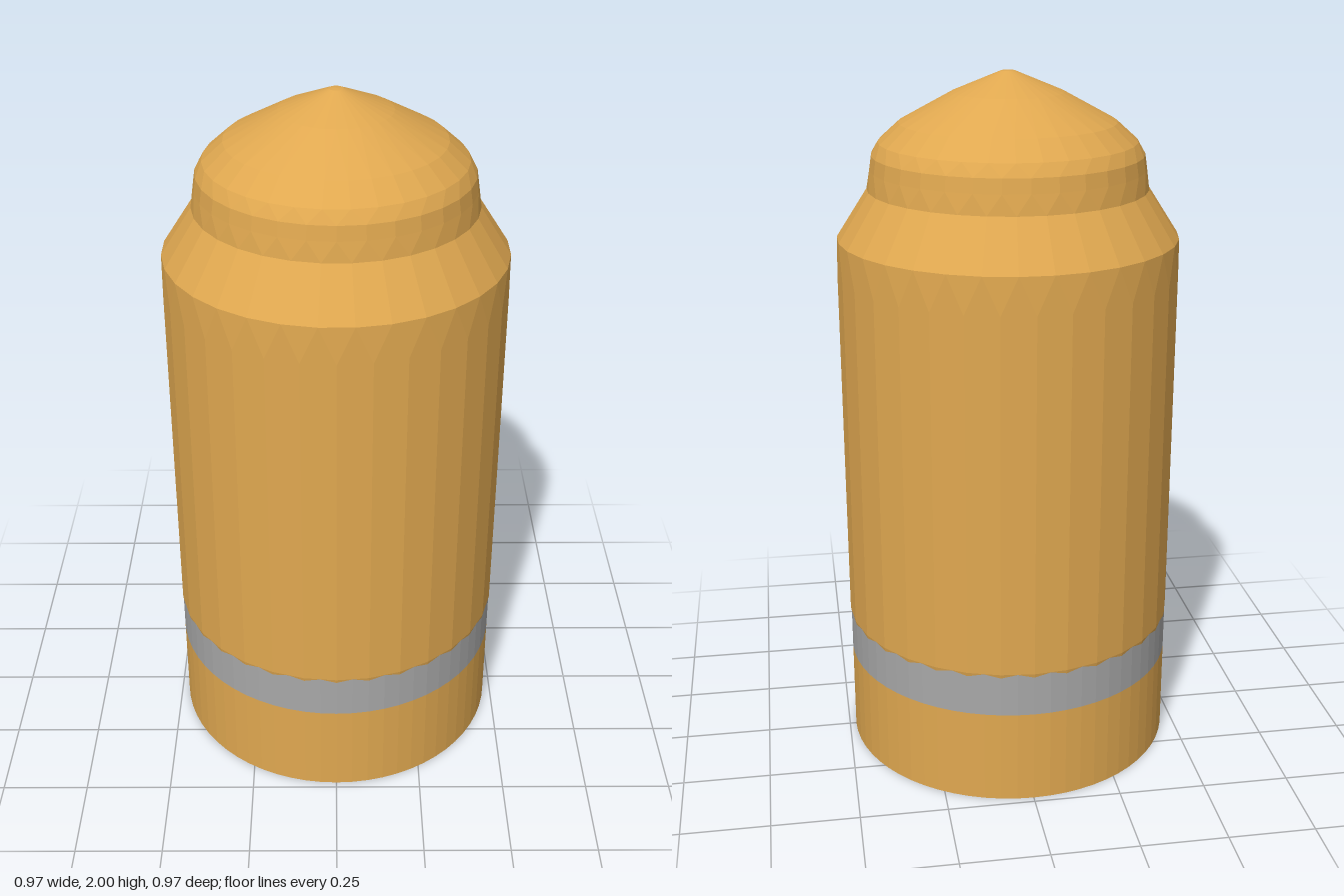
import * as THREE from 'three';

const SIDES = 32;
const brass = new THREE.MeshStandardMaterial({ color: 0xe0a850, flatShading: true });
const steel = new THREE.MeshStandardMaterial({ color: 0xa8a8a8, flatShading: true });

// Skin a stack of rings [radius, y, shift]; shift 0.5 turns a ring by half a side,
// so neighbouring rings with different shifts are joined by a zigzag of triangles.
function facetedStack(rings) {
  const positions = [];
  const point = ([r, y, shift], i) => {
    const a = ((i + shift) / SIDES) * Math.PI * 2;
    return [r * Math.sin(a), y, r * Math.cos(a)];
  };
  for (let k = 0; k < rings.length - 1; k++) {
    const low = rings[k], high = rings[k + 1];
    for (let i = 0; i < SIDES; i++) {
      const a = point(low, i), b = point(low, i + 1);
      const c = point(high, i), d = point(high, i + 1);
      if (low[2] <= high[2]) positions.push(...a, ...b, ...c, ...b, ...d, ...c);
      else positions.push(...a, ...b, ...d, ...a, ...d, ...c);
    }
  }
  const geometry = new THREE.BufferGeometry();
  geometry.setAttribute('position', new THREE.Float32BufferAttribute(positions, 3));
  geometry.computeVertexNormals();
  return geometry;
}

export function createModel() {
  const group = new THREE.Group();
  const add = (name, geometry, material) => {
    const mesh = new THREE.Mesh(geometry, material);
    mesh.name = name;
    group.add(mesh);
    return mesh;
  };

  // Round base with a closed underside
  add('base', new THREE.CylinderGeometry(0.481, 0.481, 0.275, 64), brass).position.y = 0.1375;

  // Plain ring, whose upper edge is overlapped by the faceted body
  add('band', new THREE.CylinderGeometry(0.481, 0.481, 0.145, 64, 1, true), steel).position.y = 0.3475;

  // Long body; the short taper at its foot gives the scalloped lower edge
  add('body', facetedStack([
    [0.474, 0.36, 0],
    [0.4835, 0.405, 0],
    [0.4835, 1.44, 0],
    [0.4812, 1.545, 0.5],
  ]), brass);

  // Sloping shoulder and steep neck
  add('shoulder', facetedStack([
    [0.4812, 1.545, 0.5],
    [0.394, 1.68, 0.5],
    [0.386, 1.735, 0],
    [0.38, 1.775, 0],
  ]), brass);

  // Domed cap rising to a blunt point
  add('cap', facetedStack([
    [0.38, 1.775, 0],
    [0.36, 1.81, 0.5],
    [0.302, 1.862, 0.5],
    [0.155, 1.942, 0],
    [0.02, 1.998, 0],
    [0, 2, 0],
  ]), brass);

  return group;
}
